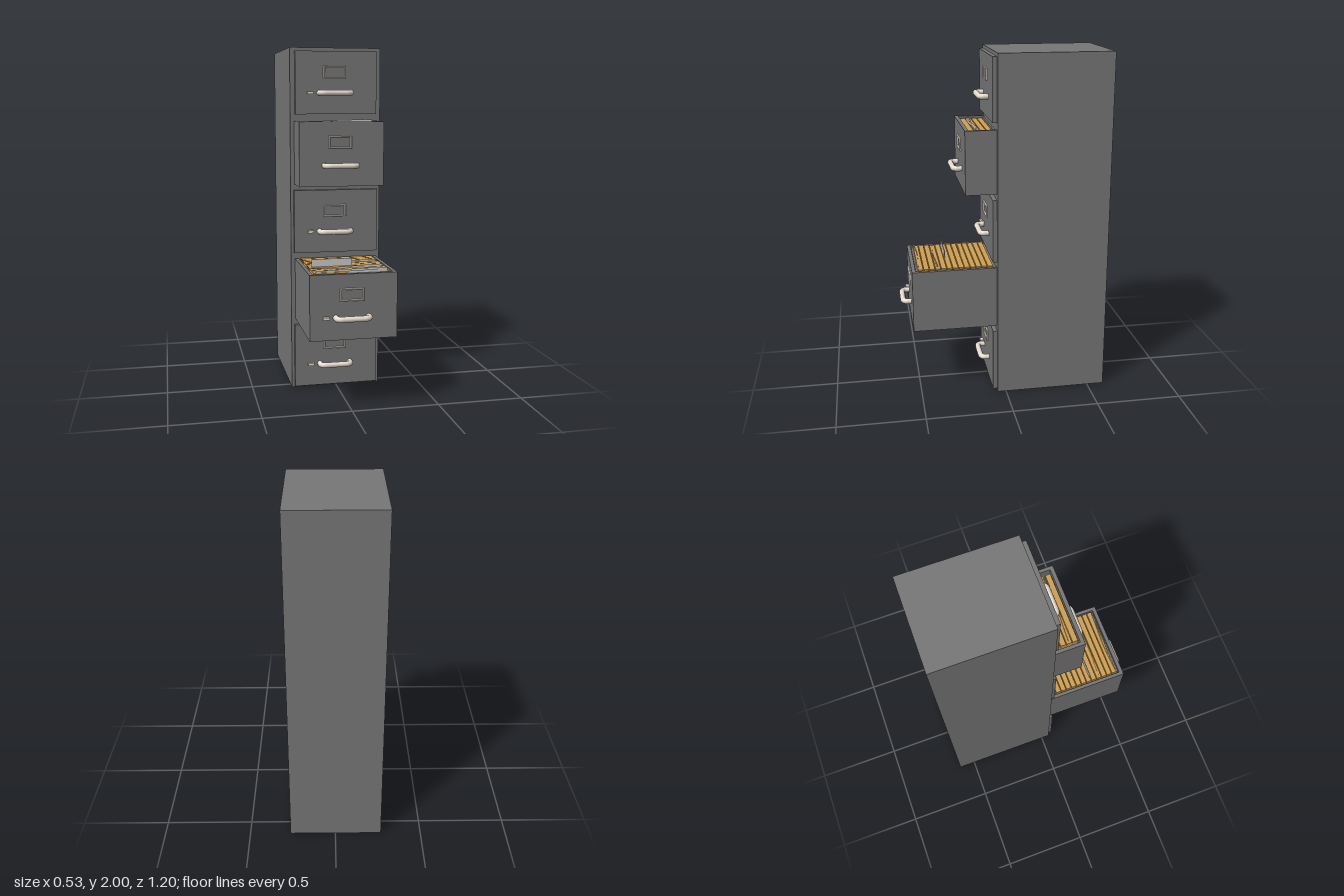
import * as THREE from 'three';

const mat = (color, side = THREE.FrontSide) => new THREE.MeshStandardMaterial({ color, side });
const steel = mat(0x777777);
const cream = mat(0xe6dccf);
const manila = mat(0xd0a050);
const card = mat(0xcccccc, THREE.DoubleSide);

function add(parent, name, geometry, material) {
  const mesh = new THREE.Mesh(geometry, material);
  mesh.name = name;
  parent.add(mesh);
  return mesh;
}

// Box given by its two opposite corners
function box(parent, name, material, [x0, y0, z0], [x1, y1, z1]) {
  const mesh = add(parent, name, new THREE.BoxGeometry(x1 - x0, y1 - y0, z1 - z0), material);
  mesh.position.set((x0 + x1) / 2, (y0 + y1) / 2, (z0 + z1) / 2);
  return mesh;
}

// Rounded pull bar, both ends running into the drawer front
function makeHandle() {
  const path = new THREE.CurvePath();
  const v = (x, z) => new THREE.Vector3(x, 0, z);
  path.add(new THREE.LineCurve3(v(-0.091, -0.027), v(-0.091, 0.024)));
  path.add(new THREE.QuadraticBezierCurve3(v(-0.091, 0.024), v(-0.086, 0.047), v(-0.06, 0.047)));
  path.add(new THREE.LineCurve3(v(-0.06, 0.047), v(0.06, 0.047)));
  path.add(new THREE.QuadraticBezierCurve3(v(0.06, 0.047), v(0.086, 0.047), v(0.091, 0.024)));
  path.add(new THREE.LineCurve3(v(0.091, 0.024), v(0.091, -0.027)));
  return new THREE.TubeGeometry(path, 64, 0.016, 14);
}

// Bevelled frame that holds a label
function makeLabelFrame() {
  const rect = (S, w, h) => new S([[-w, -h], [w, -h], [w, h], [-w, h]].map(p => new THREE.Vector2(...p)));
  const shape = rect(THREE.Shape, 0.066, 0.035);
  shape.holes.push(rect(THREE.Path, 0.057, 0.027));
  return new THREE.ExtrudeGeometry(shape, {
    depth: 0.008, bevelEnabled: true, bevelThickness: 0.002, bevelSize: 0.002, bevelOffset: -0.002, bevelSegments: 1,
  });
}

// Slightly warped sheet with an uneven top edge
function addSheet(parent, x0, x1, top, z, seed) {
  const g = new THREE.PlaneGeometry(x1 - x0, 0.06, 10, 1);
  const p = g.attributes.position;
  for (let i = 0; i < p.count; i++) {
    const t = p.getX(i) / (x1 - x0);
    p.setZ(i, 0.005 * Math.sin(t * 5 + seed));
    if (p.getY(i) > 0) p.setY(i, 0.03 - 0.012 * Math.abs(t - 0.4));
  }
  g.computeVertexNormals();
  add(parent, 'paperSheet', g, card).position.set((x0 + x1) / 2, top - 0.03, z);
}

// Open drawer tray packed with folders
function addTray(parent, d) {
  const { x0, x1, y0, y1, z } = d;
  const back = 0.05, t = 0.02;
  box(parent, 'drawerFront', steel, [x0, y0, z - 0.022], [x1, y1, z]);
  box(parent, 'drawerBottom', steel, [x0, y0, back], [x1, y0 + t, z - 0.022]);
  box(parent, 'drawerSide', steel, [x0, y0 + t, back], [x0 + t, y1, z - 0.022]);
  box(parent, 'drawerSide', steel, [x1 - t, y0 + t, back], [x1, y1, z - 0.022]);
  box(parent, 'drawerBack', steel, [x0 + t, y0 + t, back], [x1 - t, y1 - 0.01, back + 0.012]);
  const pitch = 0.0335;
  for (let f = 0.07; f + 0.028 < z - 0.018; f += pitch) {
    box(parent, 'folder', manila, [d.fx0, y0 + t, f], [d.fx1, d.folderTop, f + 0.029]);
  }
  // Dark packing seen in the narrow gaps between the folders
  box(parent, 'folderGap', steel, [d.fx0 + 0.002, y0 + t, back + 0.012], [d.fx1 - 0.002, d.folderTop - 0.012, z - 0.025]);
}

export function createModel() {
  const model = new THREE.Group();
  model.name = 'filingCabinet';
  box(model, 'cabinetBody', steel, [-0.267, 0, -0.6], [0.263, 2, 0.05]);

  const drawers = [
    { x0: -0.25, x1: 0.243, y0: 0.012, y1: 0.388, z: 0.075, handle: 0.145, label: 0.27, latch: true },
    { x0: -0.243, x1: 0.24, y0: 0.422, y1: 0.784, z: 0.538, handle: 0.547, label: 0.672, latch: true,
      open: true, fx0: -0.215, fx1: 0.21, folderTop: 0.788 },
    { x0: -0.25, x1: 0.243, y0: 0.82, y1: 1.187, z: 0.075, handle: 0.945, label: 1.066, latch: true },
    { x0: -0.244, x1: 0.241, y0: 1.222, y1: 1.585, z: 0.228, handle: 1.34, label: 1.471, latch: false,
      open: true, fx0: -0.207, fx1: 0.203, folderTop: 1.575 },
    { x0: -0.24, x1: 0.235, y0: 1.624, y1: 1.98, z: 0.075, handle: 1.745, label: 1.864, latch: true },
  ];
  const handleGeo = makeHandle(), frameGeo = makeLabelFrame();

  drawers.forEach(d => {
    const drawer = new THREE.Group();
    drawer.name = 'drawer';
    model.add(drawer);
    if (d.open) addTray(drawer, d);
    else box(drawer, 'drawerFront', steel, [d.x0, d.y0, 0.045], [d.x1, d.y1, d.z]);
    add(drawer, 'handle', handleGeo, cream).position.set(-0.01, d.handle, d.z);
    add(drawer, 'labelFrame', frameGeo, cream).position.set(-0.012, d.label, d.z);
    if (d.latch) {
      box(drawer, 'latch', cream, [-0.173, d.handle - 0.007, d.z - 0.005], [-0.137, d.handle + 0.008, d.z + 0.02]);
    }
  });

  // Loose papers standing above the folders
  const papers = new THREE.Group();
  papers.name = 'papers';
  model.add(papers);
  [[0.234, 0.8], [0.39, 0.802], [0.397, 0.796], [0.493, 0.806], [0.5, 0.799]].forEach(([z, top], i) =>
    addSheet(papers, -0.2, 0.195, top, z, i * 1.7));
  [[0.155, 1.596], [0.163, 1.592]].forEach(([z, top], i) => addSheet(papers, -0.2, 0.19, top, z, i * 2 + 1));
  box(papers, 'dividerTab', card, [-0.196, 0.76, 0.328], [0.035, 0.83, 0.333]);

  return model;
}
